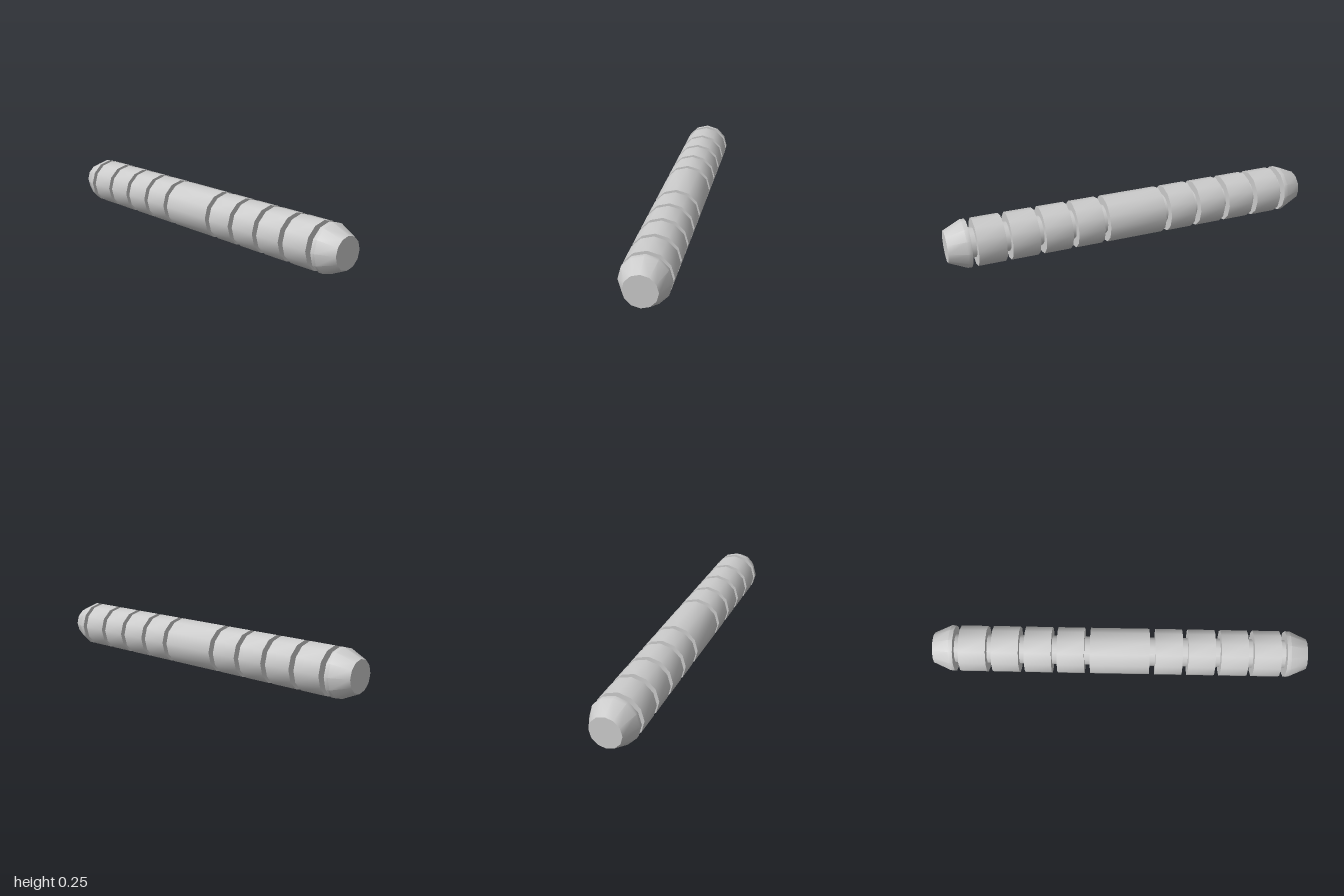
import * as THREE from 'three';
import { toCreasedNormals } from 'three/addons/utils/BufferGeometryUtils.js';

const SIDES = 12;
const R = 0.125;        // outer radius
const CORE_R = 0.078;   // radius at the bottom of the grooves
const TIP_R = 0.083;    // radius of the flat end

const material = new THREE.MeshStandardMaterial({ color: 0xcccccc });

// Turned part lying along x; profile is a list of [x, radius]
function turned(name, profile) {
  const points = profile.map(([x, r]) => new THREE.Vector2(r, x));
  const lathe = new THREE.LatheGeometry(points, SIDES).rotateZ(-Math.PI / 2);
  const mesh = new THREE.Mesh(toCreasedNormals(lathe, THREE.MathUtils.degToRad(35)), material);
  mesh.name = name;
  return mesh;
}

// Closed cylinder band between two x positions
const band = (name, x0, x1) => turned(name, [[x0, 0], [x0, R], [x1, R], [x1, 0]]);

export function createModel() {
  const group = new THREE.Group();
  group.name = 'groovedPin';

  // Thin core seen in the grooves, and the long middle band
  group.add(turned('core', [[-0.89, CORE_R], [0.89, CORE_R]]));
  group.add(band('middleBand', -0.158, 0.158));

  for (const side of [1, -1]) {
    const half = new THREE.Group();
    half.name = side > 0 ? 'leftHalf' : 'rightHalf';

    // Four evenly spaced bands
    for (let i = 0; i < 4; i++) {
      const x = 0.189 + i * 0.174;
      half.add(band('band' + (i + 1), x, x + 0.144));
    }

    // Tapered tip with a narrow rim
    half.add(turned('tip', [[0.885, 0], [0.885, R], [0.907, R], [1, TIP_R], [1, 0]]));

    if (side < 0) half.rotation.y = Math.PI;
    group.add(half);
  }

  group.position.y = R;
  return group;
}
